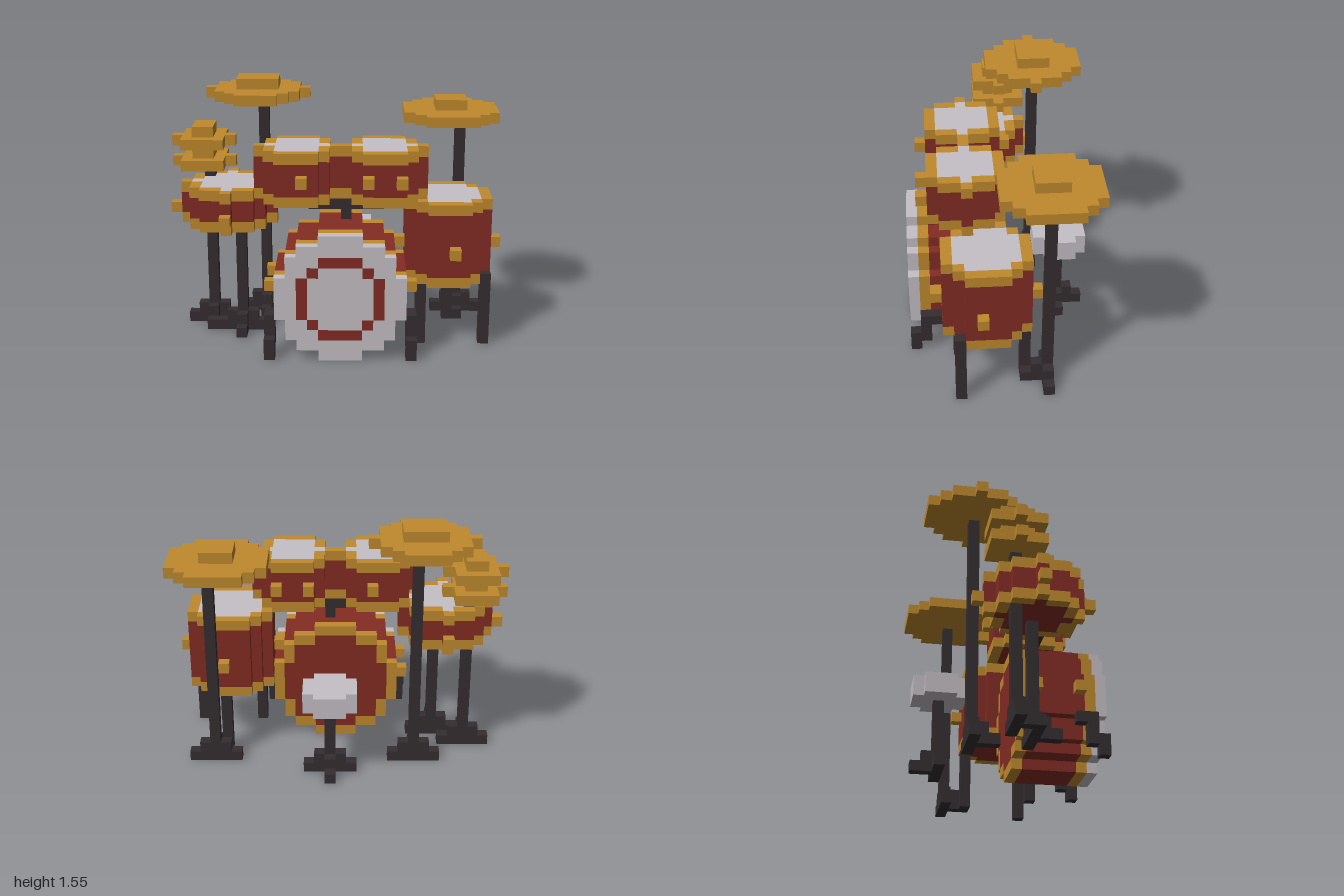
import * as THREE from 'three';

const U = 2 / 31; // edge of one cube; the grid is 31 wide, 24 high, 17 deep
const material = (name, color) => {
  const m = new THREE.MeshStandardMaterial({ color });
  m.name = name;
  return m;
};

export function createModel() {
  const gold = material('gold', 0xc08a2e);
  const red = material('red', 0x842c24);
  const white = material('white', 0xc6c0c6);
  const black = material('black', 0x352e30);
  const cells = new Map();
  const key = (x, y, z) => x + ',' + y + ',' + z;

  // fill an inclusive range of cubes
  function fill(part, mat, x0, x1, y0, y1, z0, z1) {
    for (let x = x0; x <= x1; x++)
      for (let y = y0; y <= y1; y++)
        for (let z = z0; z <= z1; z++) cells.set(key(x, y, z), { part, mat, x, y, z });
  }
  const cube = (part, mat, x, y, z) => fill(part, mat, x, x, y, y, z, z);

  // cubes of a disc as [a, b, onEdge]
  function disc(ca, cb, r) {
    const inside = (a, b) => (a - ca) ** 2 + (b - cb) ** 2 <= r * r + 1e-6;
    const out = [];
    for (let a = Math.floor(ca - r); a <= ca + r + 1; a++)
      for (let b = Math.floor(cb - r); b <= cb + r + 1; b++)
        if (inside(a, b)) {
          const full = inside(a + 1, b) && inside(a - 1, b) && inside(a, b + 1) && inside(a, b - 1);
          out.push([a, b, !full]);
        }
    return out;
  }

  // upright drum: gold hoops, red shell, white head
  function drum(name, cx, cz, r, y0, y1) {
    for (const [x, z, edge] of disc(cx, cz, r)) {
      fill(name + 'Shell', red, x, x, y0, y1, z, z);
      if (edge) {
        cube(name + 'Hoops', gold, x, y0, z);
        cube(name + 'Hoops', gold, x, y1, z);
      } else cube(name + 'Head', white, x, y1, z);
    }
  }
  function plate(name, mat, cx, cz, r, y0, y1) {
    for (const [x, z] of disc(cx, cz, r)) fill(name, mat, x, x, y0, y1, z, z);
  }
  // post on three stepped feet
  function stand(name, x, z, top, dir) {
    fill(name, black, x, x, 0, top, z, z);
    for (const [dx, dz] of [[1, 0], [-1, 0], [0, dir]]) {
      fill(name, black, x + dx, x + dx, 0, 1, z + dz, z + dz);
      cube(name, black, x + 2 * dx, 0, z + 2 * dz);
    }
  }

  // bass drum lying along z
  for (const [x, y, edge] of disc(15.5, 5.5, 6)) {
    fill('bassShell', red, x, x, y, y, 9, 15);
    if (edge) {
      cube('bassHoops', gold, x, y, 9);
      cube('bassHoops', gold, x, y, 15);
    }
    cube('bassFrontHead', white, x, y, 16);
  }
  // ring on the bass head
  for (const s of [0, 1]) {
    fill('bassRing', red, 14, 17, s ? 9 : 2, s ? 9 : 2, 16, 16);
    fill('bassRing', red, s ? 19 : 12, s ? 19 : 12, 4, 7, 16, 16);
    for (const y of [3, 8]) cube('bassRing', red, s ? 18 : 13, y, 16);
  }
  // bass lugs and spurs, both sides
  for (const x of [9, 22]) {
    for (const z of [10, 14]) cube('bassLugs', gold, x, 6, z);
    cube('bassSpurs', black, x, 3, 14);
    fill('bassSpurs', black, x, x, 1, 3, 15, 15);
    fill('bassSpurs', black, x, x, 0, 1, 16, 16);
  }

  // rack toms and their mount
  drum('rightTom', 11.5, 11, 3.5, 14, 18);
  drum('leftTom', 19.5, 11, 3.5, 14, 18);
  for (const x of [12, 18, 21]) for (const z of [7, 15]) cube('tomLugs', gold, x, 16, z);
  cube('tomMount', black, 16, 12, 11);
  fill('tomMount', black, 13, 19, 13, 13, 11, 11);

  // floor tom with lugs and legs
  drum('floorTom', 25.5, 9.5, 4, 6, 13);
  for (const [x, z] of [[26, 14], [26, 5], [30, 10], [21, 10]]) cube('floorTomLugs', gold, x, 9, z);
  for (const [x, z, top] of [[23, 12, 5], [29, 12, 6], [26, 6, 5]])
    fill('floorTomLegs', black, x, x, 0, top, z, z);

  // snare drum
  drum('snare', 5, 9, 4, 11, 14);
  for (const [x, z] of [[5, 14], [5, 4], [0, 9]]) cube('snareLugs', gold, x, 12, z);
  stand('snareStand', 6, 9, 10, 1);

  // hi-hat
  stand('hiHatStand', 3, 7, 15, 1);
  for (const y of [16, 18]) {
    plate('hiHat', gold, 2.5, 7, 2.5, y, y);
    fill('hiHat', gold, 2, 3, y + 1, y + 1, 6, 8);
  }

  // crash cymbals
  stand('rightCymbalStand', 8, 4, 21, 1);
  plate('rightCymbal', gold, 7.5, 4, 4.5, 22, 22);
  fill('rightCymbal', gold, 6, 9, 23, 23, 3, 5);
  stand('leftCymbalStand', 27, 4, 19, 1);
  plate('leftCymbal', gold, 26, 4, 4.5, 20, 20);
  fill('leftCymbal', gold, 25, 27, 21, 21, 3, 5);

  // stool
  stand('stoolStand', 16, 2, 6, -1);
  plate('stoolSeat', white, 16, 2, 2.5, 7, 8);

  // gather the exposed faces of each part
  const parts = new Map();
  for (const c of cells.values()) {
    if (!parts.has(c.part)) parts.set(c.part, { mat: c.mat, pos: [], nor: [] });
    const { pos, nor } = parts.get(c.part);
    const p = [c.x, c.y, c.z];
    for (let axis = 0; axis < 3; axis++)
      for (const s of [1, -1]) {
        const n = [0, 0, 0];
        n[axis] = s;
        if (cells.has(key(p[0] + n[0], p[1] + n[1], p[2] + n[2]))) continue;
        const b = (axis + 1) % 3, d = (axis + 2) % 3;
        const quad = [[0, 0], [1, 0], [1, 1], [0, 0], [1, 1], [0, 1]];
        for (const [e, f] of quad) {
          const v = p.slice();
          v[axis] += s > 0 ? 1 : 0;
          v[b] += s > 0 ? e : f;
          v[d] += s > 0 ? f : e;
          pos.push(v[0] * U - 1, v[1] * U, (v[2] - 8.5) * U);
          nor.push(...n);
        }
      }
  }

  const group = new THREE.Group();
  group.name = 'drumKit';
  for (const [name, { mat, pos, nor }] of parts) {
    const g = new THREE.BufferGeometry();
    g.setAttribute('position', new THREE.Float32BufferAttribute(pos, 3));
    g.setAttribute('normal', new THREE.Float32BufferAttribute(nor, 3));
    const mesh = new THREE.Mesh(g, mat);
    mesh.name = name;
    group.add(mesh);
  }
  return group;
}
